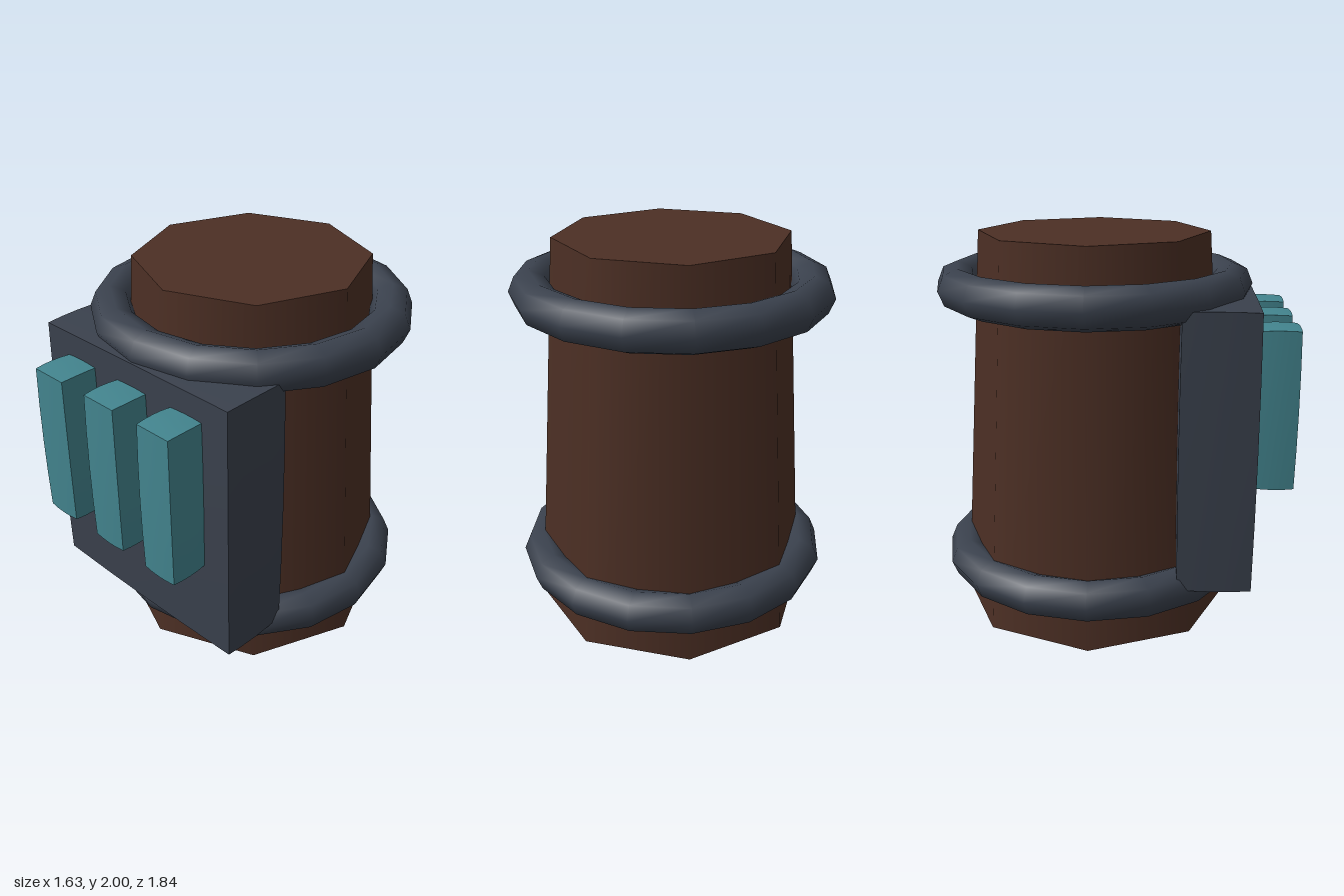
import * as THREE from 'three';

const brown = new THREE.MeshStandardMaterial({ name: 'brown', color: 0x4c2f24 });
const slate = new THREE.MeshStandardMaterial({ name: 'slate', color: 0x3a414d });
const teal = new THREE.MeshStandardMaterial({ name: 'teal', color: 0x43858f });

// Box whose faces swell slightly outward towards the middle
function puffedBox(w, h, d, bulge) {
  const geo = new THREE.BoxGeometry(w, h, d, 4, 4, 4);
  const half = [w / 2, h / 2, d / 2];
  const pos = geo.attributes.position;
  for (let i = 0; i < pos.count; i++) {
    const p = [pos.getX(i), pos.getY(i), pos.getZ(i)];
    const u = p.map((v, k) => v / half[k]);
    const q = p.map((v, k) => {
      const a = u[(k + 1) % 3], b = u[(k + 2) % 3];
      return v + u[k] * bulge * (1 - (a * a + b * b) / 2);
    });
    pos.setXYZ(i, q[0], q[1], q[2]);
  }
  geo.computeVertexNormals();
  return geo;
}

export function createModel() {
  const group = new THREE.Group();
  const axisZ = -0.105;

  function add(name, geometry, material, x, y, z) {
    const mesh = new THREE.Mesh(geometry, material);
    mesh.name = name;
    mesh.position.set(x, y, z);
    group.add(mesh);
    return mesh;
  }

  // Tapered eight-sided body
  add('body', new THREE.CylinderGeometry(0.595, 0.725, 2, 8), brown, 0, 1, axisZ);

  // Upper and lower rings
  for (const [name, y] of [['lowerRing', 0.275], ['upperRing', 1.735]]) {
    const ring = add(name, new THREE.TorusGeometry(0.709, 0.106, 8, 16), slate, 0, y, axisZ);
    ring.rotation.x = Math.PI / 2;
  }

  // Front housing
  add('frontPanel', puffedBox(1.24, 1.41, 0.37, 0.01), slate, 0, 1, 0.52);

  // Three upright bars on the housing
  for (const x of [-0.365, 0, 0.365]) {
    add('bar', puffedBox(0.2, 0.8, 0.2, 0.009), teal, x, 1.185, 0.81);
  }

  return group;
}
